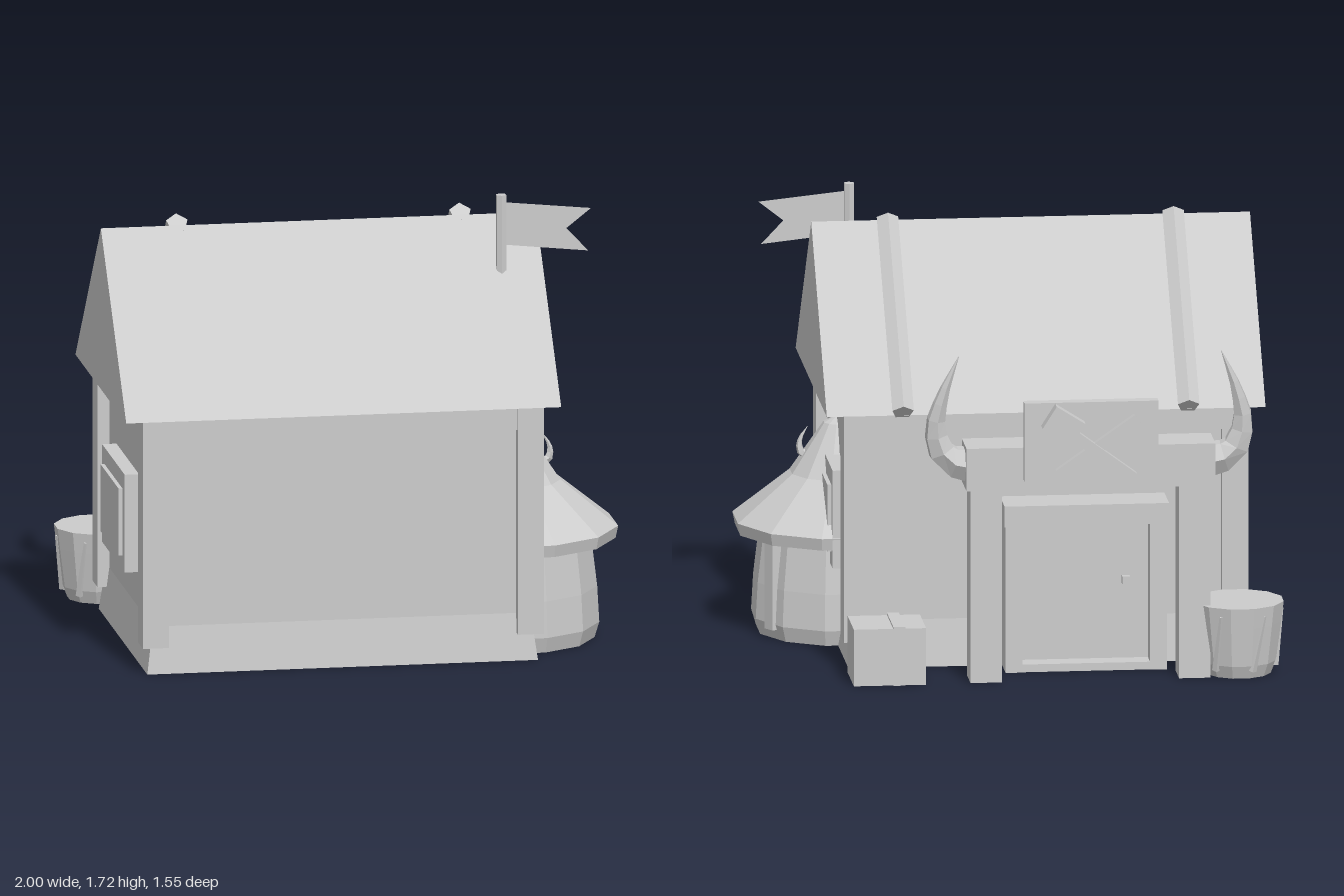
import * as THREE from 'three';

export function createModel() {
  const model = new THREE.Group();
  const plainGrey = new THREE.MeshStandardMaterial({
    color: 0xcccccc, flatShading: true, side: THREE.DoubleSide });

  function add(name, geometry, x = 0, y = 0, z = 0) {
    const mesh = new THREE.Mesh(geometry, plainGrey);
    mesh.name = name;
    mesh.position.set(x, y, z);
    model.add(mesh);
    return mesh;
  }
  // Box given by its extents on each axis
  function block(name, x0, x1, y0, y1, z0, z1) {
    return add(name, new THREE.BoxGeometry(x1 - x0, y1 - y0, z1 - z0),
      (x0 + x1) / 2, (y0 + y1) / 2, (z0 + z1) / 2);
  }
  function lathe(name, profile, x, z, sides = 12) {
    const points = profile.map(([r, y]) => new THREE.Vector2(r, y));
    return add(name, new THREE.LatheGeometry(points, sides, Math.PI / sides), x, 0, z);
  }
  // Tapered curved horn: a tube whose rings shrink toward the tip
  function horn(name, path, radius, sides = 6) {
    const curve = new THREE.CatmullRomCurve3(path.map(p => new THREE.Vector3(...p)));
    const steps = 8;
    const geometry = new THREE.TubeGeometry(curve, steps, radius, sides);
    const pos = geometry.attributes.position, v = new THREE.Vector3();
    for (let i = 0; i < pos.count; i++) {
      const t = Math.floor(i / (sides + 1)) / steps;
      const centre = curve.getPointAt(t);
      v.fromBufferAttribute(pos, i).sub(centre).multiplyScalar(1 - t * 0.98).add(centre);
      pos.setXYZ(i, v.x, v.y, v.z);
    }
    return add(name, geometry);
  }
  // Bar running between two points
  function bar(name, a, b, geometryFor) {
    const from = new THREE.Vector3(...a), to = new THREE.Vector3(...b);
    const dir = to.clone().sub(from);
    const mesh = add(name, geometryFor(dir.length()));
    mesh.position.copy(from).add(to).multiplyScalar(0.5);
    mesh.quaternion.setFromUnitVectors(new THREE.Vector3(0, 1, 0), dir.normalize());
    return mesh;
  }

  // House walls, with a flared open skirt at the foot
  const cx = -0.115, cz = 0.19;
  block('walls', -0.84, 0.61, 0.18, 0.99, -0.345, 0.725);
  const skirt = new THREE.CylinderGeometry(Math.SQRT1_2, Math.SQRT1_2, 0.18, 4, 1, true);
  skirt.rotateY(Math.PI / 4);
  const sp = skirt.attributes.position;
  for (let i = 0; i < sp.count; i++) {
    const low = sp.getY(i) < 0 ? 0.05 : 0;
    sp.setX(i, sp.getX(i) * (1.45 + low));
    sp.setZ(i, sp.getZ(i) * (1.07 + low));
  }
  add('wallSkirt', skirt, cx, 0.09, cz);

  // Corner posts and the beams under the eaves
  for (const x of [-0.885, 0.555])
    for (const z of [-0.39, 0.655])
      block('cornerPost', x, x + 0.1, 0.105, 0.985, z, z + 0.115);
  for (const z of [-0.38, 0.71]) block('eaveBeam', -0.8, 0.57, 0.9, 0.985, z, z + 0.05);
  for (const x of [-0.875, 0.595]) block('gableBeam', x, x + 0.05, 0.9, 0.985, -0.29, 0.67);

  // Gabled roof
  const gable = new THREE.Shape([[-0.775, 0.985], [0.395, 0.985], [-0.19, 1.61]]
    .map(p => new THREE.Vector2(...p)));
  const roof = new THREE.ExtrudeGeometry(gable, { depth: 1.67, bevelEnabled: false });
  roof.rotateY(Math.PI / 2);
  add('roof', roof, -0.95);
  for (const x of [-0.655, 0.432])
    bar('roofPole', [x, 1.618, 0.18], [x, 1.0, -0.41],
      l => new THREE.CylinderGeometry(0.043, 0.043, l, 5));

  // Side windows: frame and raised pane
  for (const [wall, side, z] of [[-0.84, -1, 0.15], [0.61, 1, 0.19]]) {
    const plate = (name, out, y0, y1, half) => {
      const end = wall + side * out;
      block(name, Math.min(wall, end), Math.max(wall, end), y0, y1, z - half, z + half);
    };
    plate('windowFrame', 0.055, 0.32, 0.7, 0.26);
    plate('windowPane', 0.07, 0.375, 0.635, 0.21);
  }

  // Round side tower
  const tx = 0.6, tz = 0.325;
  lathe('towerWall', [[0.32, 0], [0.338, 0.06], [0.33, 0.2], [0.307, 0.39]], tx, tz);
  lathe('towerRoof', [[0.3, 0.39], [0.4, 0.388], [0.41, 0.435], [0.19, 0.61],
    [0.06, 0.8], [0, 0.83]], tx, tz);
  horn('towerHorn', [[0.69, 0.66, tz], [0.745, 0.685, tz], [0.75, 0.73, tz],
    [0.72, 0.785, tz]], 0.025, 5);
  const plank = block('towerPlank', 0.85, 0.89, 0.04, 0.39, 0.125, 0.175);
  plank.rotation.y = 0.55;

  // Flag on the front roof slope
  add('flagPole', new THREE.CylinderGeometry(0.021, 0.021, 0.31, 6), 0.56, 1.565, 0.35);
  const cloth = new THREE.Shape([[0.57, 1.69], [0.905, 1.655], [0.81, 1.58],
    [0.895, 1.49], [0.57, 1.525]].map(p => new THREE.Vector2(...p)));
  add('flag', new THREE.ShapeGeometry(cloth), 0, 0, 0.35);

  // Back door with its frame
  const dx = -0.257;
  block('door', dx - 0.27, dx + 0.27, 0.02, 0.58, -0.42, -0.35);
  block('doorKnob', -0.43, -0.4, 0.32, 0.35, -0.445, -0.42);
  block('doorLintel', dx - 0.313, dx + 0.313, 0.57, 0.65, -0.52, -0.34);
  block('doorStep', dx - 0.27, dx + 0.27, 0, 0.03, -0.5, -0.35);

  // Gate around the door: jambs, pillars and horns mirrored about the door
  for (const s of [-1, 1]) {
    const box = (name, c, w, y0, y1, z0, z1) =>
      block(name, dx + s * c - w / 2, dx + s * c + w / 2, y0, y1, z0, z1);
    box('doorJamb', 0.275, 0.065, 0, 0.57, -0.505, -0.34);
    box('gatePillar', 0.397, 0.12, 0, 0.76, -0.66, -0.52);
    horn('gateHorn', [[0.45, 0.835, -0.59], [0.54, 0.86, -0.595], [0.585, 0.97, -0.605],
      [0.56, 1.11, -0.625], [0.5, 1.265, -0.64]].map(([x, y, z]) => [dx + s * x, y, z]), 0.072);
  }
  block('gateBeam', -0.73, 0.217, 0.75, 0.915, -0.68, -0.502);

  // Sign board with a crossed axe and staff
  block('signBoard', -0.51, 0, 0.79, 1.095, -0.717, -0.67);
  bar('signStaff', [-0.13, 0.82, -0.735], [-0.43, 1.03, -0.735],
    l => new THREE.BoxGeometry(0.045, l, 0.035));
  bar('axeHandle', [-0.41, 0.81, -0.755], [-0.1, 1.04, -0.755],
    l => new THREE.BoxGeometry(0.04, l, 0.035));
  bar('axeHead', [-0.2, 0.98, -0.745], [-0.09, 1.05, -0.745],
    l => new THREE.BoxGeometry(0.1, l, 0.055));

  // Barrel with slanted staves
  const bx = -0.828, bz = -0.567;
  lathe('barrel', [[0, 0], [0.125, 0], [0.145, 0.05], [0.165, 0.2], [0.175, 0.28],
    [0, 0.28]], bx, bz);
  for (let i = 0; i < 6; i++) {
    const a = i * Math.PI / 3 + 0.3;
    const at = (angle, r, y) => [bx + r * Math.sin(angle), y, bz + r * Math.cos(angle)];
    bar('barrelStave', at(a, 0.138, 0.03), at(a + 0.25, 0.167, 0.245),
      l => new THREE.CylinderGeometry(0.006, 0.016, l, 4));
  }

  // Strapped crate
  block('crate', 0.37, 0.645, 0, 0.22, -0.67, -0.438);
  block('crateStrap', 0.45, 0.495, 0, 0.228, -0.677, -0.432);

  return model;
}
